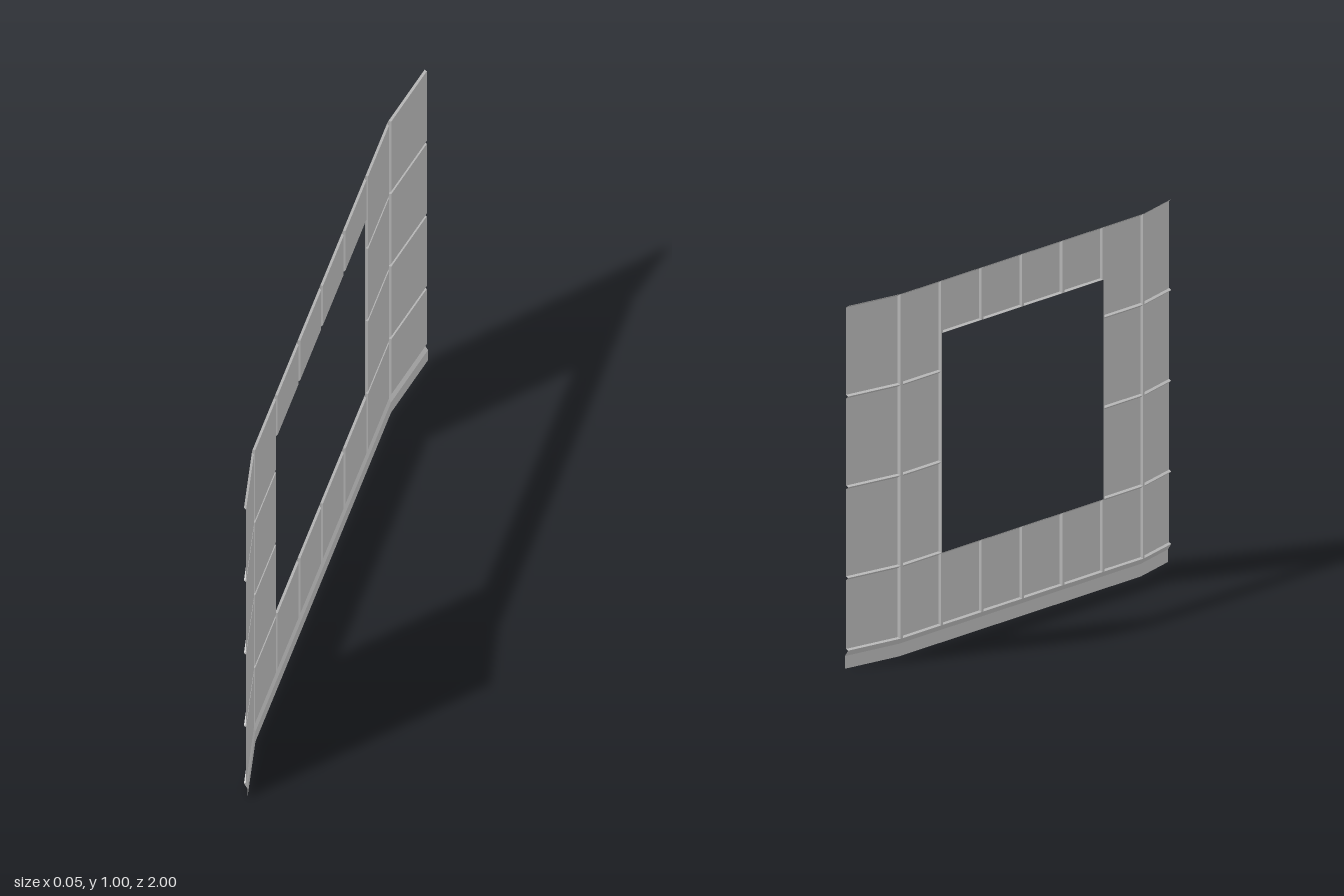
import * as THREE from 'three';

const PANEL_X = -0.019;   // raised panel face
const GROOVE_X = -0.025;  // bottom of the grooves
const SKIRT_X = -0.0155;  // face of the skirting
const material = new THREE.MeshStandardMaterial({
  color: 0xcccccc, flatShading: true, side: THREE.DoubleSide,
});

// The outer quarter-unit at each end of the wall swings towards +x.
const bend = (z) => Math.max(0, Math.abs(z) - 0.75) / 0.25 * 0.0405;
const point = (x, y, z) => [x + bend(z), y, z];

// Mesh from a list of quads, corners counter-clockwise seen from +x.
function quadMesh(name, quads) {
  const positions = [];
  for (const [a, b, c, d] of quads) positions.push(...a, ...b, ...c, ...a, ...c, ...d);
  const geometry = new THREE.BufferGeometry();
  geometry.setAttribute('position', new THREE.Float32BufferAttribute(positions, 3));
  geometry.computeVertexNormals();
  const mesh = new THREE.Mesh(geometry, material);
  mesh.name = name;
  return mesh;
}

// Panel with half a groove and a chamfer round its rim; wall ends stay plain.
function panel(name, z0, z1, y0, y1) {
  const ring = (x, insetZ, insetY) => {
    const a = z0 <= -1 ? z0 : z0 + insetZ;
    const b = z1 >= 1 ? z1 : z1 - insetZ;
    return [
      point(x, y0 + insetY, b), point(x, y0 + insetY, a),
      point(x, y1 - insetY, a), point(x, y1 - insetY, b),
    ];
  };
  const rings = [
    ring(GROOVE_X, 0, 0),
    ring(GROOVE_X, 0.006, 0.0005),
    ring(PANEL_X, 0.01, 0.005),
  ];
  const quads = [rings[2]];
  for (let r = 0; r < 2; r++) {
    for (let i = 0; i < 4; i++) {
      const j = (i + 1) % 4;
      // at the plain ends the rim side folds flat into the end plane, so skip it
      if ((i === 1 && z0 <= -1) || (i === 3 && z1 >= 1)) continue;
      quads.push([rings[r][i], rings[r][j], rings[r + 1][j], rings[r + 1][i]]);
    }
  }
  return quadMesh(name, quads);
}

export function createModel() {
  const group = new THREE.Group();
  group.name = 'windowWall';
  const rows = [0.05, 0.25, 0.5, 0.75, 1];

  // Panel grid, leaving the window opening in the four middle columns
  for (let col = 0; col < 8; col++) {
    const z0 = -1 + col * 0.25;
    const z1 = z0 + 0.25;
    if (col >= 2 && col <= 5) {
      group.add(panel('panelBelowWindow', z0, z1, 0.05, 0.25));
      group.add(panel('panelAboveWindow', z0, z1, 0.855, 1));
    } else {
      for (let row = 0; row < 4; row++) {
        group.add(panel('sidePanel', z0, z1, rows[row], rows[row + 1]));
      }
    }
  }

  // Skirting: sloped top and upright face, following the bends
  const profile = [[SKIRT_X, 0], [SKIRT_X, 0.035], [GROOVE_X, 0.05]];
  const stations = [-1, -0.75, 0.75, 1];
  const quads = [];
  for (let s = 0; s < 3; s++) {
    for (let i = 0; i < 2; i++) {
      const [low, high] = [profile[i], profile[i + 1]];
      quads.push([
        point(...low, stations[s + 1]), point(...low, stations[s]),
        point(...high, stations[s]), point(...high, stations[s + 1]),
      ]);
    }
  }
  group.add(quadMesh('skirting', quads));
  return group;
}
